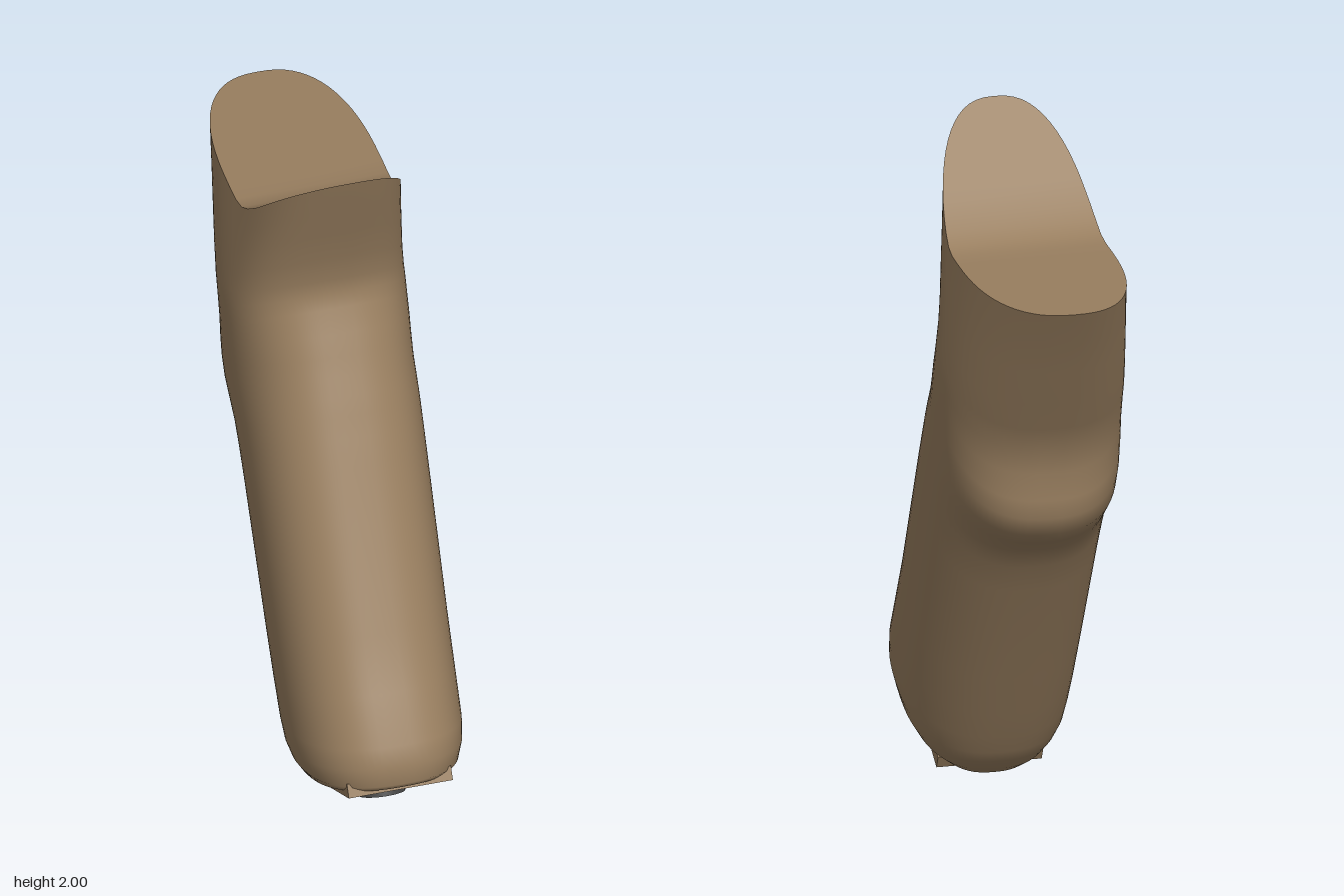
import * as THREE from 'three';

const SIDES = 72;
const ROUNDNESS = 2.5; // superellipse exponent of the cross-section

// Cross-sections from top to bottom: front z, front y, back z, back y, half width, saddle depth
const SECTIONS = [
  [0.22, 2.0, -0.72, 1.69, 0.22, 1],
  [0.18, 1.88, -0.66, 1.585, 0.228, 0.8],
  [0.14, 1.77, -0.6, 1.475, 0.236, 0.6],
  [0.1, 1.65, -0.54, 1.36, 0.243, 0.4],
  [0.08, 1.56, -0.49, 1.27, 0.248, 0.22],
  [0.08, 1.51, -0.455, 1.2, 0.25, 0.12],
  [0.095, 1.47, -0.437, 1.12, 0.25, 0.05],
  [0.13, 1.405, -0.437, 1.04, 0.25, 0],
  [0.16, 1.35, -0.435, 0.985, 0.249, 0],
  [0.185, 1.3, -0.41, 0.93, 0.248, 0],
  [0.215, 1.25, -0.36, 0.89, 0.247, 0],
  [0.24, 1.2, -0.3, 0.845, 0.246, 0],
  [0.27, 1.145, -0.255, 0.78, 0.245, 0],
  [0.31, 1.07, -0.2, 0.69, 0.244, 0],
  [0.53, 0.65, -0.016, 0.36, 0.24, 0],
  [0.62, 0.51, 0.05, 0.235, 0.238, 0],
  [0.7, 0.385, 0.1, 0.15, 0.236, 0],
  [0.722, 0.33, 0.13, 0.095, 0.23, 0],
  [0.725, 0.27, 0.155, 0.06, 0.215, 0],
  [0.712, 0.25, 0.19, 0.025, 0.195, 0],
  [0.69, 0.24, 0.225, 0.003, 0.165, 0],
];

// Height of the top saddle: flat at the back, rising to the front tip
const SADDLE = [[-0.72, 1.69], [-0.15, 1.69], [-0.09, 1.725], [-0.03, 1.77], [0.22, 2]];
function saddleHeight(z) {
  for (let i = 1; i < SADDLE.length; i++) {
    const [z0, y0] = SADDLE[i - 1], [z1, y1] = SADDLE[i];
    if (z <= z1) return y0 + (y1 - y0) * (z - z0) / (z1 - z0);
  }
  return 2;
}

const rounded = (v) => Math.sign(v) * Math.pow(Math.abs(v), 2 / ROUNDNESS);

function ring([fz, fy, bz, by, width, sag]) {
  const points = [];
  for (let j = 0; j < SIDES; j++) {
    const a = (j / SIDES) * Math.PI * 2;
    const s = rounded(Math.cos(a));
    const dip = saddleHeight(-0.25 + 0.47 * s) - (1.845 + 0.155 * s);
    points.push([
      width * rounded(Math.sin(a)),
      (fy + by) / 2 + s * (fy - by) / 2 + sag * dip,
      (fz + bz) / 2 + s * (fz - bz) / 2,
    ]);
  }
  return points;
}

function surface(points, index) {
  const g = new THREE.BufferGeometry();
  g.setAttribute('position', new THREE.Float32BufferAttribute(points.flat(), 3));
  g.setIndex(index);
  g.computeVertexNormals();
  return g;
}

// Side wall through all the sections
function wallGeometry(rings) {
  const index = [];
  for (let i = 0; i < rings.length - 1; i++) {
    for (let j = 0; j < SIDES; j++) {
      const k = (j + 1) % SIDES;
      const a = i * SIDES + j, b = i * SIDES + k, c = a + SIDES, d = b + SIDES;
      index.push(a, c, d, a, d, b);
    }
  }
  return surface(rings.flat(), index);
}

// Closing face, stripped across from side to side
function capGeometry(points, up) {
  const index = [];
  for (let j = 0; j < SIDES / 2; j++) {
    const r0 = (SIDES - j) % SIDES, r1 = SIDES - j - 1;
    const tris = [[r0, j, j + 1], [r0, j + 1, r1]];
    for (const t of tris) {
      if (new Set(t).size === 3) index.push(...(up ? t : t.reverse()));
    }
  }
  return surface(points, index);
}

export function createModel() {
  const model = new THREE.Group();
  const material = (name, color) => {
    const m = new THREE.MeshStandardMaterial({ color });
    m.name = name;
    return m;
  };
  const tan = material('tan', 0x987e5f);
  const black = material('black', 0x222222);
  const grey = material('dark grey', 0x444444);

  const add = (parent, name, geometry, mat, x = 0, y = 0, z = 0) => {
    const mesh = new THREE.Mesh(geometry, mat);
    mesh.name = name;
    mesh.position.set(x, y, z);
    parent.add(mesh);
    return mesh;
  };

  // Grip body
  const rings = SECTIONS.map(ring);
  const grip = new THREE.Group();
  grip.name = 'grip';
  add(grip, 'gripWall', wallGeometry(rings), tan);
  add(grip, 'topSaddle', capGeometry(rings[0], true), tan);
  add(grip, 'gripBottom', capGeometry(rings[rings.length - 1], false), tan);
  model.add(grip);

  // Base plate and screw, square to the slanted grip
  const base = new THREE.Group();
  base.name = 'base';
  base.position.set(0, 0.12, 0.49);
  base.rotation.x = -0.49;
  add(base, 'basePlate', new THREE.BoxGeometry(0.3, 0.04, 0.47), tan, 0, 0.02, 0);
  add(base, 'screwRecess', new THREE.CylinderGeometry(0.11, 0.11, 0.008, 40), black, 0, -0.003, 0);
  add(base, 'screwHead', new THREE.CylinderGeometry(0.065, 0.065, 0.045, 32), grey, 0, -0.0225, 0);
  add(base, 'screwSocket', new THREE.CylinderGeometry(0.04, 0.04, 0.006, 6), black, 0, -0.0445, 0);
  model.add(base);

  return model;
}
